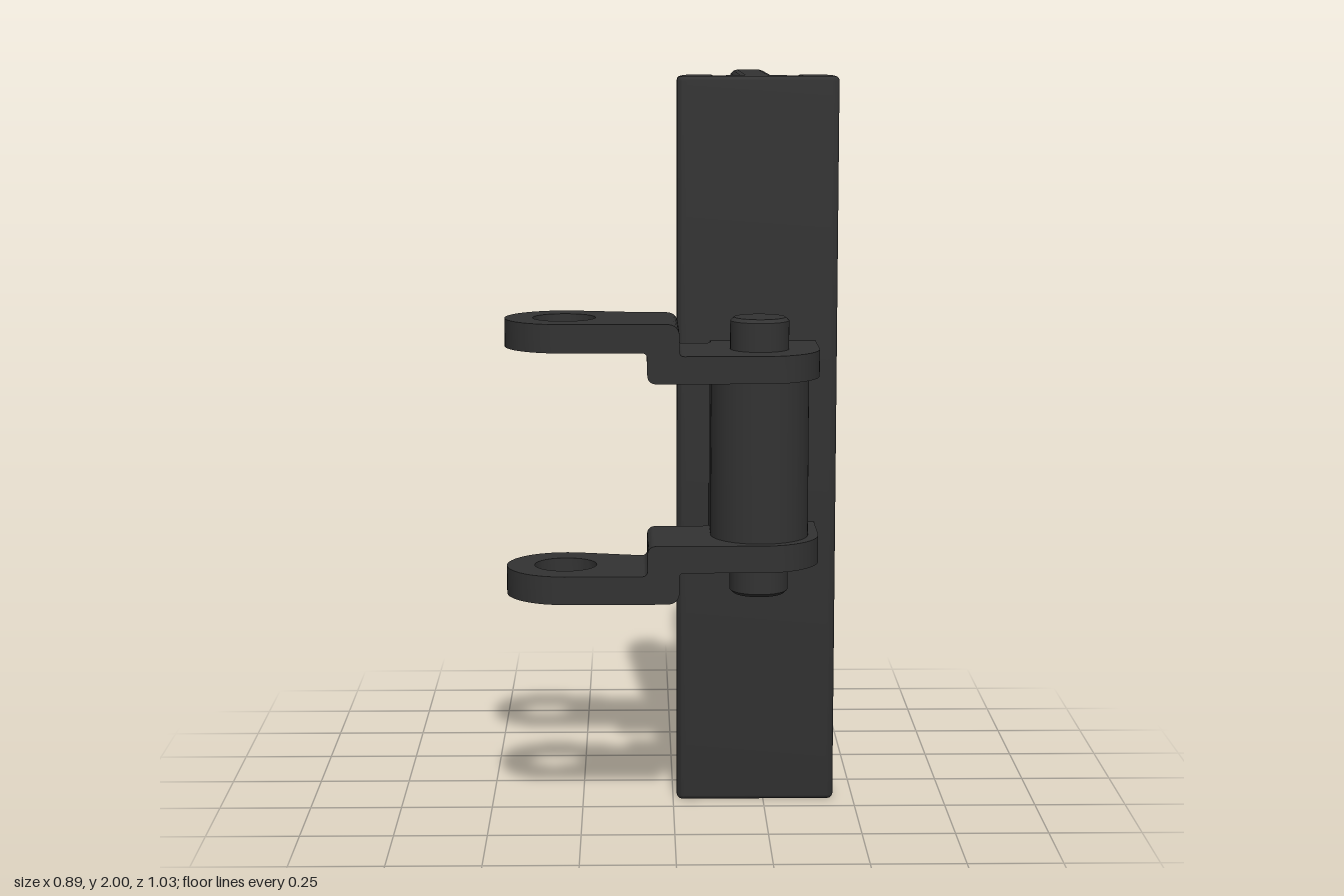
import * as THREE from 'three';
import { toCreasedNormals } from 'three/addons/utils/BufferGeometryUtils.js';

const MID = 1.005; // height of the mirror plane between the two links

// Closed outline from [x, y, cornerRadius] points
function roundedOutline(points) {
  const shape = new THREE.Shape();
  const n = points.length;
  points.forEach((p, i) => {
    const v = new THREE.Vector2(p[0], p[1]);
    const toward = (q) => new THREE.Vector2(q[0], q[1]).sub(v).setLength(p[2] || 0).add(v);
    const a = toward(points[(i + n - 1) % n]);
    const b = toward(points[(i + 1) % n]);
    if (i === 0) shape.moveTo(a.x, a.y);
    else shape.lineTo(a.x, a.y);
    if (p[2]) shape.quadraticCurveTo(v.x, v.y, b.x, b.y);
  });
  shape.closePath();
  return shape;
}

// Plan outlines are given as (x, z); shapes use y = -z
const plan = (points) => roundedOutline(points.map(([x, z, r]) => [x, -z, r]));

function extrude(shape, depth, bevel, curveSegments = 8) {
  return new THREE.ExtrudeGeometry(shape, {
    depth: depth - 2 * bevel, curveSegments,
    bevelEnabled: bevel > 0, bevelSize: bevel, bevelThickness: bevel,
    bevelOffset: -bevel, bevelSegments: 3,
  }).translate(0, 0, bevel);
}

export function createModel() {
  const model = new THREE.Group();
  model.name = 'chainLinkWithFlight';
  const material = new THREE.MeshStandardMaterial({ color: 0x333333 });

  const add = (name, geometry) => {
    const mesh = new THREE.Mesh(toCreasedNormals(geometry, 0.6), material);
    mesh.name = name;
    model.add(mesh);
  };
  const addUpright = (name, shape, y0, y1, bevel = 0, segments = 8) =>
    add(name, extrude(shape, y1 - y0, bevel, segments).rotateX(-Math.PI / 2).translate(0, y0, 0));

  // Channel that holds the blade, open to the back
  addUpright('channel', plan([
    [0.01, 0.19, 0.025], [0.445, 0.19, 0.025], [0.445, 0.105, 0.02], [0.42, 0.006, 0.025],
    [0.34, 0.006, 0], [0.34, 0.126, 0], [0.115, 0.126, 0], [0.115, 0.006, 0],
    [0.035, 0.006, 0.025], [0.01, 0.105, 0.02],
  ]), 0.003, 2, 0.012);

  // Retaining tabs on both lips, near each end
  for (const [y0, y1] of [[0.08, 0.5], [1.48, 1.92]]) {
    for (const [x0, x1] of [[0.11, 0.176], [0.279, 0.345]]) {
      addUpright('retainingTab', plan([
        [x0, 0.007, 0], [x0, 0.055, 0], [x1, 0.055, 0], [x1, 0.007, 0],
      ]), y0, y1);
    }
  }

  // Blade with a thickened root sitting in the channel
  addUpright('blade', plan([
    [0.175, -0.517, 0.025], [0.28, -0.517, 0.025], [0.28, 0.06, 0.012], [0.33, 0.06, 0.03],
    [0.33, 0.125, 0.03], [0.123, 0.125, 0.03], [0.123, 0.06, 0.03], [0.175, 0.06, 0.012],
  ]), 0.003, 2, 0.022);

  // Offset links, upper and lower
  for (const side of [1, -1]) {
    const prefix = side > 0 ? 'upper' : 'lower';
    const slab = (name, shape, low, high) => {
      const ys = [MID + side * low, MID + side * high].sort((a, b) => a - b);
      addUpright(prefix + name, shape, ys[0], ys[1], 0, 24);
    };

    // Outer end with its eye
    const eye = new THREE.Shape();
    eye.moveTo(-0.1, -0.24);
    eye.lineTo(-0.1, -0.515);
    eye.lineTo(-0.29, -0.515);
    eye.absarc(-0.29, -0.358, 0.157, -Math.PI / 2, Math.PI * 0.435, true);
    eye.closePath();
    const hole = new THREE.Path();
    hole.absarc(-0.29, -0.358, 0.083, 0, Math.PI * 2, false);
    eye.holes.push(hole);
    slab('LinkEye', eye, 0.295, 0.37);

    // Step between the two plate levels
    const step = roundedOutline([
      [-0.1, 0.295, 0], [-0.1, 0.37, 0], [0.012, 0.37, 0.035], [0.012, 0.286, 0.012],
      [0.03, 0.286, 0], [0.03, 0.214, 0], [-0.072, 0.214, 0.025], [-0.072, 0.295, 0.015],
    ].map(([x, y, r]) => [x, MID + side * y, r]));
    add(prefix + 'LinkStep', extrude(step, 0.272, 0).translate(0, 0, 0.243));

    // Inner plate joined to the channel
    const pad = new THREE.Shape();
    pad.moveTo(0.03, -0.515);
    pad.lineTo(0.23, -0.515);
    pad.absarc(0.23, -0.36, 0.155, -Math.PI / 2, 0, false);
    pad.lineTo(0.385, -0.18);
    pad.lineTo(0.1, -0.18);
    pad.lineTo(0.1, -0.213);
    pad.quadraticCurveTo(0.1, -0.243, 0.07, -0.243);
    pad.lineTo(0.03, -0.243);
    pad.closePath();
    slab('LinkPlate', pad, 0.214, 0.286);
  }

  // Barrel between the links, running back to the channel
  const barrel = new THREE.Shape();
  barrel.moveTo(0.097, -0.18);
  barrel.lineTo(0.097, -0.36);
  barrel.absarc(0.227, -0.36, 0.13, Math.PI, Math.PI * 2, false);
  barrel.lineTo(0.357, -0.18);
  barrel.closePath();
  addUpright('barrel', barrel, 0.785, 1.225, 0, 24);

  // Pin through barrel and links
  const pinProfile = [[0, -0.371], [0.068, -0.371], [0.078, -0.362], [0.078, 0.362], [0.068, 0.371], [0, 0.371]];
  add('pin', new THREE.LatheGeometry(pinProfile.map(([r, y]) => new THREE.Vector2(r, y)), 40)
    .translate(0.226, MID, 0.358));

  return model;
}
